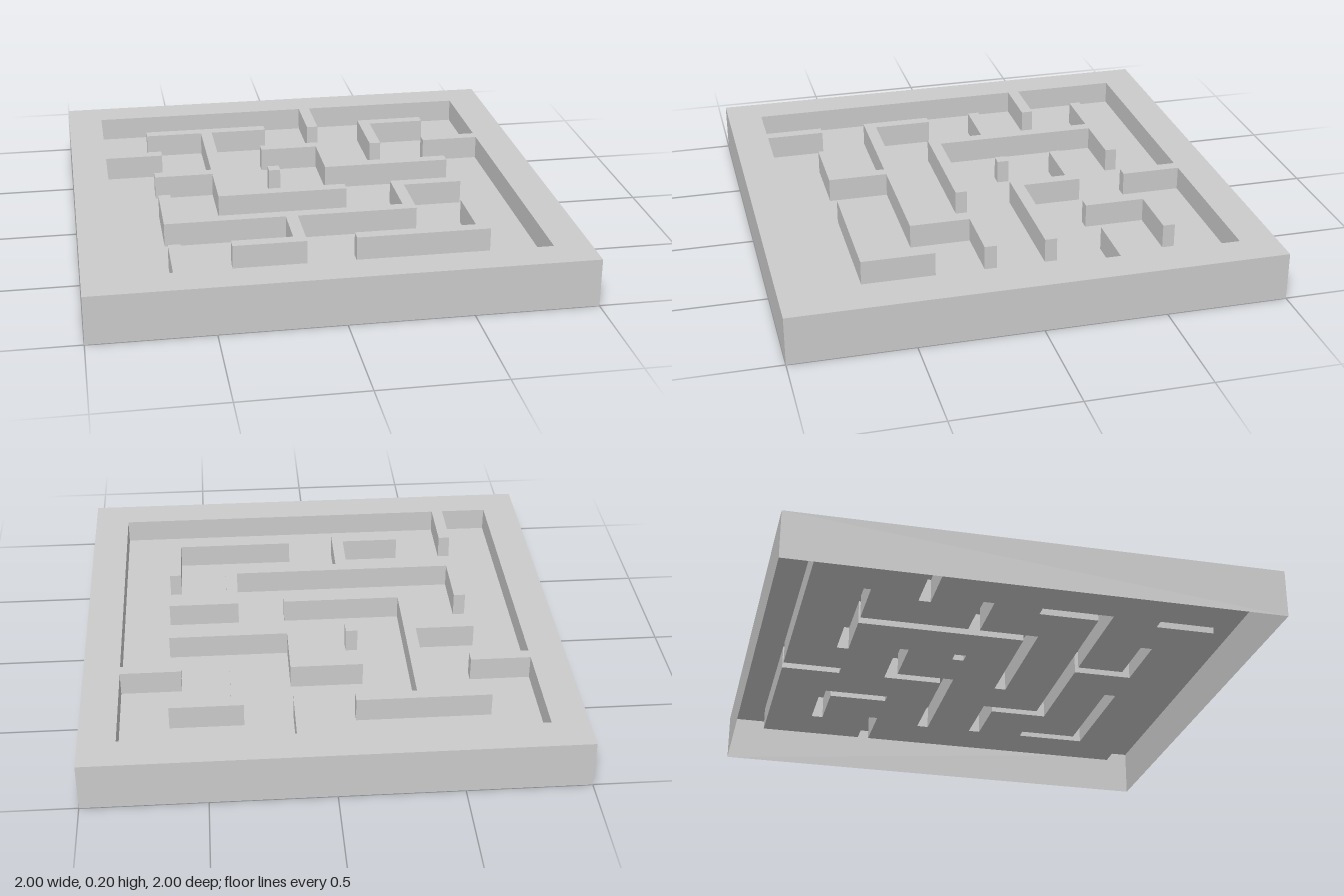
import * as THREE from 'three';

const TOP = 0.2, FLOOR = 0.1;
const material = new THREE.MeshStandardMaterial({ color: 0xcccccc, flatShading: true, side: THREE.DoubleSide });

// All loops are [x, z] corners, clockwise seen from above.
const rect = (x0, z0, x1, z1) => [[x0, z0], [x1, z0], [x1, z1], [x0, z1]];
const outerEdge = rect(-1, -1, 1, 1);

// Inner edge of the rim, with the four short walls that grow out of it
const recessEdge = [
  [-0.85, -0.85], [0.1, -0.85], [0.1, -0.6], [0.15, -0.6], [0.15, -0.85],
  [0.85, -0.85], [0.85, -0.4], [0.6, -0.4], [0.6, -0.35], [0.85, -0.35],
  [0.85, 0.85], [-0.6, 0.85], [-0.6, 0.6], [-0.65, 0.6], [-0.65, 0.85],
  [-0.85, 0.85], [-0.85, -0.35], [-0.6, -0.35], [-0.6, -0.4], [-0.85, -0.4],
];

// Free-standing maze walls
const branchedWall = [
  [-0.65, -0.65], [-0.1, -0.65], [-0.1, -0.6], [-0.35, -0.6], [-0.35, 0.1],
  [0.15, 0.1], [0.15, 0.15], [-0.4, 0.15], [-0.4, -0.1], [-0.65, -0.1],
  [-0.65, -0.15], [-0.4, -0.15], [-0.4, -0.6], [-0.65, -0.6],
];
const steppedWall = [
  [-0.15, -0.4], [0.15, -0.4], [0.15, -0.15], [0.65, -0.15],
  [0.65, -0.1], [0.1, -0.1], [0.1, -0.35], [-0.15, -0.35],
];
const backCornerWall = [
  [0.35, -0.65], [0.65, -0.65], [0.65, -0.6], [0.4, -0.6], [0.4, -0.35], [0.35, -0.35],
];
const centrePost = rect(-0.15, -0.15, -0.1, -0.1);
const frontWall = [
  [-0.65, 0.1], [-0.6, 0.1], [-0.6, 0.35], [0.35, 0.35], [0.35, 0.1], [0.65, 0.1],
  [0.65, 0.15], [0.4, 0.15], [0.4, 0.4], [-0.1, 0.4], [-0.1, 0.65],
  [-0.4, 0.65], [-0.4, 0.6], [-0.15, 0.6], [-0.15, 0.4], [-0.65, 0.4],
];
const frontCornerWall = [
  [0.6, 0.35], [0.65, 0.35], [0.65, 0.65], [0.1, 0.65], [0.1, 0.6], [0.6, 0.6],
];
const mazeWalls = { branchedWall, steppedWall, backCornerWall, centrePost, frontWall, frontCornerWall };

const toPoints = (loop) => loop.map(([x, z]) => new THREE.Vector2(x, -z));

// Horizontal face at height y, facing up
function flatFace(loop, y, holes = []) {
  const shape = new THREE.Shape(toPoints(loop));
  shape.holes = holes.map((hole) => new THREE.Path(toPoints(hole)));
  return new THREE.ShapeGeometry(shape).rotateX(-Math.PI / 2).translate(0, y, 0);
}

// Vertical band along a loop, facing outward (reverse the loop to face inward)
function sides(loop, y0, y1) {
  const positions = [];
  loop.forEach(([ax, az], i) => {
    const [bx, bz] = loop[(i + 1) % loop.length];
    positions.push(ax, y0, az, ax, y1, az, bx, y1, bz);
    positions.push(ax, y0, az, bx, y1, bz, bx, y0, bz);
  });
  const geometry = new THREE.BufferGeometry();
  geometry.setAttribute('position', new THREE.Float32BufferAttribute(positions, 3));
  geometry.computeVertexNormals();
  return geometry;
}

export function createModel() {
  const model = new THREE.Group();
  model.name = 'mazeTray';
  const add = (name, geometry, parent = model) => {
    const mesh = new THREE.Mesh(geometry, material);
    mesh.name = name;
    parent.add(mesh);
  };

  // Tray shell, open underneath
  add('outerSides', sides(outerEdge, 0, TOP));
  add('rimTop', flatFace(outerEdge, TOP, [recessEdge]));
  add('recessSides', sides([...recessEdge].reverse(), FLOOR, TOP));
  add('floor', flatFace(recessEdge, FLOOR, Object.values(mazeWalls)));

  // Maze walls, hollow from below
  for (const [name, loop] of Object.entries(mazeWalls)) {
    const wall = new THREE.Group();
    wall.name = name;
    add(name + 'Top', flatFace(loop, TOP), wall);
    add(name + 'Sides', sides(loop, FLOOR, TOP), wall);
    model.add(wall);
  }
  return model;
}
